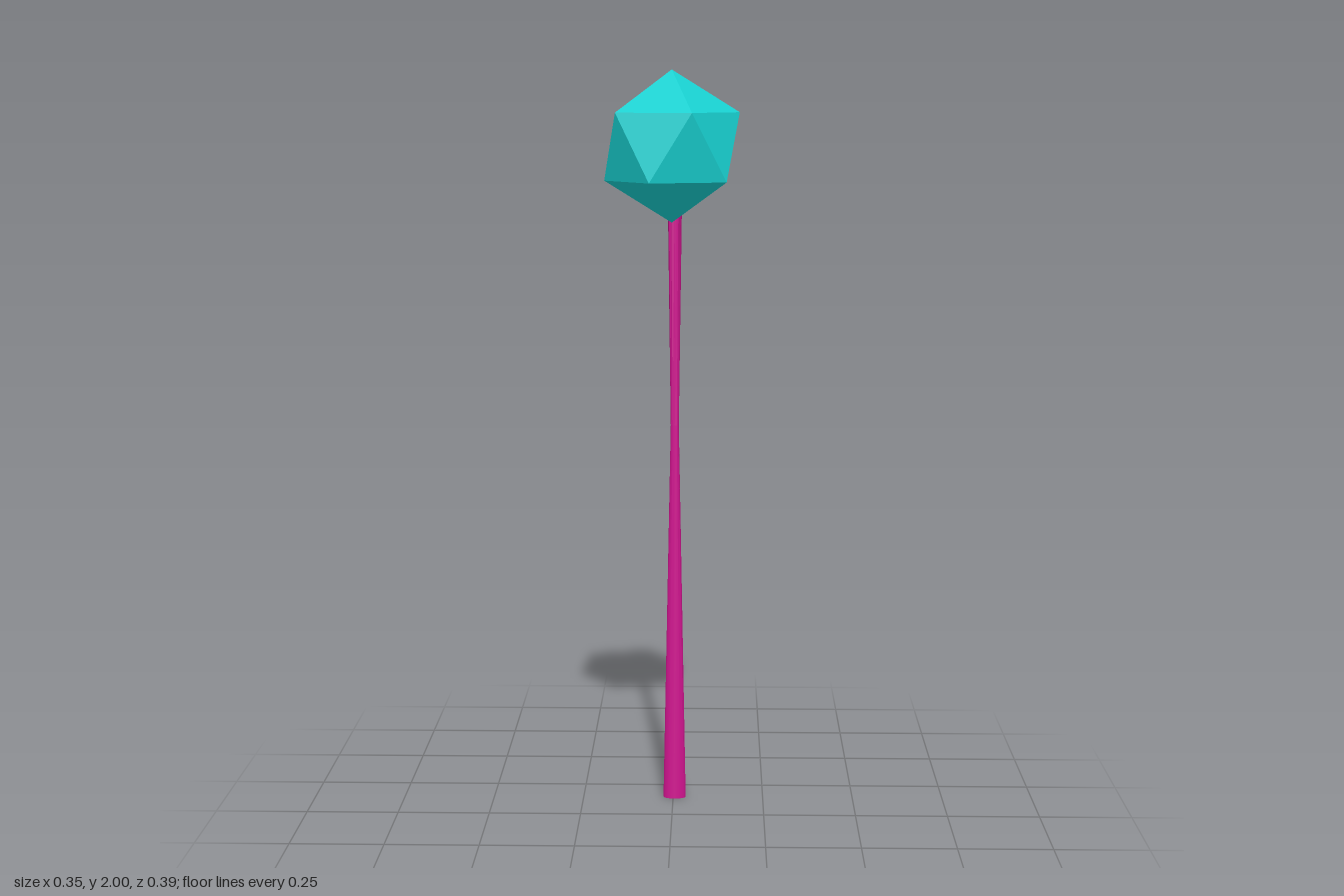
import * as THREE from 'three';
import { toCreasedNormals } from 'three/addons/utils/BufferGeometryUtils.js';

const SIDES = 12;

// Closed tube through elliptical rings: centre (x, y, z), half-width in x,
// half-depth vector (dy, dz), and a sideways skew of z with x.
function ringTube(rings) {
  const pos = [], index = [];
  for (const { c, rx, d, skew = 0 } of rings) {
    for (let j = 0; j < SIDES; j++) {
      const a = (j / SIDES) * Math.PI * 2;
      const x = Math.cos(a) * rx, s = Math.sin(a);
      pos.push(c[0] + x, c[1] + s * d[0], c[2] + s * d[1] + skew * x);
    }
  }
  const last = (rings.length - 1) * SIDES;
  for (let j = 0; j < SIDES; j++) {
    const k = (j + 1) % SIDES;
    for (let r = 0; r < last; r += SIDES) {
      index.push(r + j, r + k, r + SIDES + k, r + j, r + SIDES + k, r + SIDES + j);
    }
    // end caps
    if (j > 0 && k > 0) index.push(0, k, j, last, last + j, last + k);
  }
  const geo = new THREE.BufferGeometry();
  geo.setAttribute('position', new THREE.Float32BufferAttribute(pos, 3));
  geo.setIndex(index);
  return toCreasedNormals(geo, 0.7);
}

export function createModel() {
  const group = new THREE.Group();
  group.name = 'stalkWithHead';

  // Faceted head, standing on one corner
  const headGeo = new THREE.IcosahedronGeometry(0.195, 0);
  headGeo.rotateX(-Math.atan((1 + Math.sqrt(5)) / 2));
  headGeo.rotateY(Math.PI / 2);
  const head = new THREE.Mesh(
    headGeo,
    new THREE.MeshStandardMaterial({ color: 0x18d0d0, flatShading: true })
  );
  head.name = 'head';
  head.position.set(0, 1.806, 0.03);
  group.add(head);

  // Slender stalk, pinched in the middle, bent forward into the head
  const stalk = new THREE.Mesh(
    ringTube([
      { c: [0.004, 0, -0.146], rx: 0.031, d: [0, -0.016] },
      { c: [0.004, 1.05, -0.163], rx: 0.011, d: [0, -0.011] },
      { c: [0.004, 1.745, -0.176], rx: 0.02, d: [0.025, -0.018], skew: -0.3 },
      { c: [0.004, 1.782, -0.12], rx: 0.022, d: [0.032, -0.002] },
    ]),
    new THREE.MeshStandardMaterial({ color: 0xd0148f })
  );
  stalk.name = 'stalk';
  group.add(stalk);

  return group;
}
